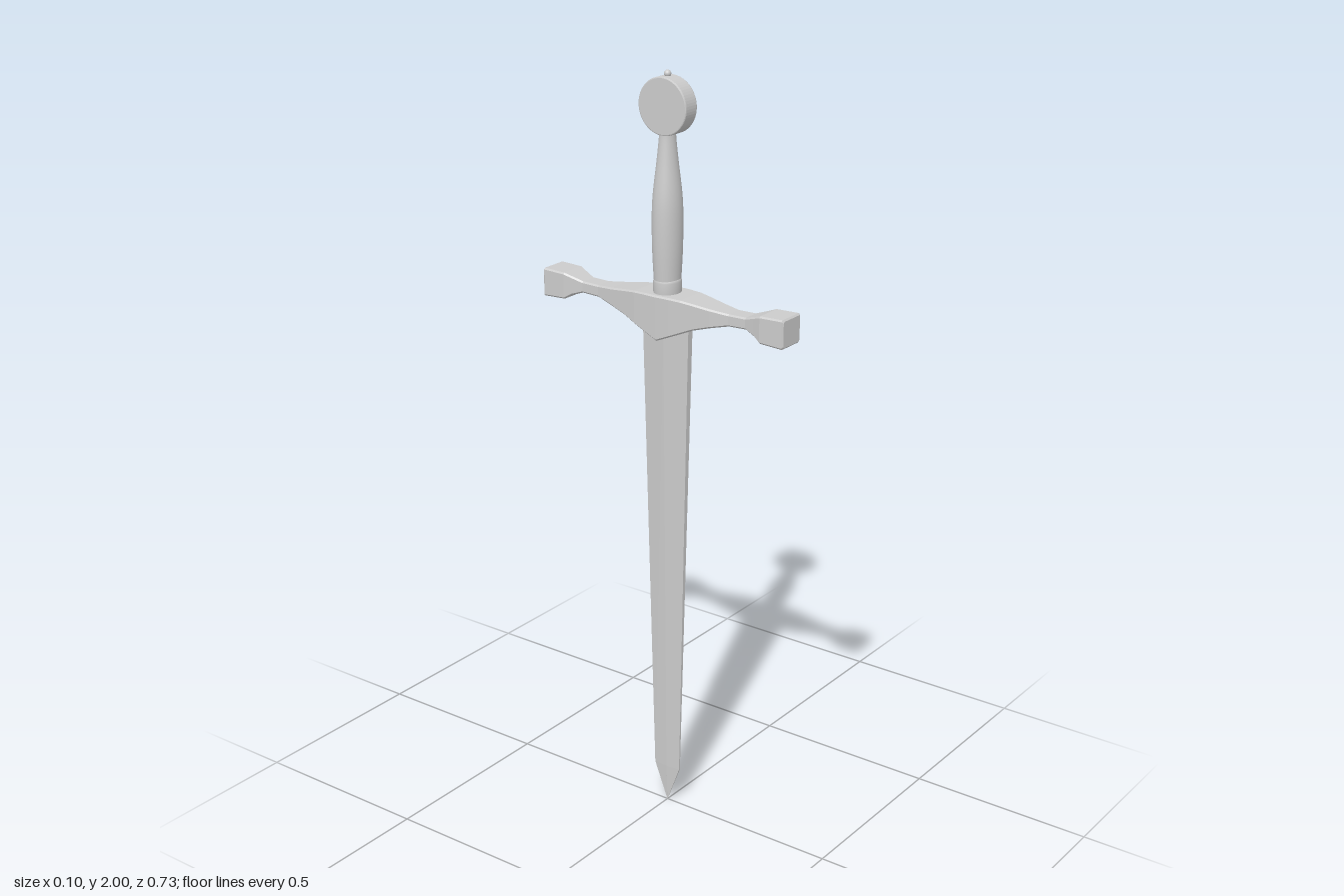
import * as THREE from 'three';

const material = new THREE.MeshStandardMaterial({ color: 0xcccccc });
const flat = new THREE.MeshStandardMaterial({ color: 0xcccccc, flatShading: true });

// Skin a list of equal-length rings (each anticlockwise seen from the far end) and cap both ends.
function loft(rings) {
  const n = rings[0].length, index = [];
  for (let r = 0; r < rings.length - 1; r++) {
    for (let i = 0; i < n; i++) {
      const a = r * n + i, b = r * n + (i + 1) % n;
      index.push(a, b, b + n, a, b + n, a + n);
    }
  }
  const last = (rings.length - 1) * n;
  for (let i = 1; i < n - 1; i++) {
    index.push(0, i + 1, i, last, last + i, last + i + 1);
  }
  const geometry = new THREE.BufferGeometry();
  geometry.setAttribute('position', new THREE.Float32BufferAttribute(rings.flat(2), 3));
  geometry.setIndex(index);
  const result = geometry.toNonIndexed();
  result.computeVertexNormals();
  return result;
}

// Blade section: shallow central ridge on both faces, narrow flat edges
function bladeRing(y, halfWidth, ridge, edge) {
  return [
    [ridge, y, 0], [edge, y, -halfWidth], [-edge, y, -halfWidth],
    [-ridge, y, 0], [-edge, y, halfWidth], [edge, y, halfWidth],
  ];
}

// Guard section: rectangle with small chamfers
function guardRing(z, top, bottom, half) {
  const c = 0.004;
  return [
    [half, bottom + c, z], [half, top - c, z], [half - c, top, z], [-half + c, top, z],
    [-half, top - c, z], [-half, bottom + c, z], [-half + c, bottom, z], [half - c, bottom, z],
  ];
}

export function createModel() {
  const model = new THREE.Group();
  const add = (name, geometry, mat) => {
    const mesh = new THREE.Mesh(geometry, mat);
    mesh.name = name;
    model.add(mesh);
    return mesh;
  };

  // Tapered blade with a pointed tip
  add('blade', loft([
    bladeRing(0.005, 0.0005, 0.0005, 0.0003),
    bladeRing(0.11, 0.04, 0.005, 0.002),
    bladeRing(1.40, 0.071, 0.018, 0.009),
  ]), flat);

  // Crossguard: z, top, bottom, half thickness, mirrored about the middle
  const half = [
    [0.035, 1.452, 1.35, 0.0485], [0.07, 1.451, 1.365, 0.046], [0.105, 1.447, 1.38, 0.041],
    [0.15, 1.441, 1.393, 0.034], [0.2, 1.436, 1.405, 0.025], [0.25, 1.437, 1.407, 0.025],
    [0.28, 1.447, 1.397, 0.033], [0.3, 1.454, 1.385, 0.039], [0.363, 1.456, 1.382, 0.039],
    [0.367, 1.452, 1.386, 0.035],
  ];
  const mirrored = half.map(([z, ...rest]) => [-z, ...rest]).reverse();
  const sections = [...mirrored, [0, 1.452, 1.335, 0.05], ...half];
  add('crossguard', loft(sections.map((s) => guardRing(...s))), flat);

  // Swelling grip, slightly oval
  const swell = new THREE.SplineCurve([
    [0.037, 1.485], [0.041, 1.56], [0.042, 1.64], [0.039, 1.70], [0.029, 1.78], [0.023, 1.835], [0.022, 1.86],
  ].map((p) => new THREE.Vector2(...p)));
  add('grip', new THREE.LatheGeometry(swell.getPoints(30), 40), material).scale.z = 0.88;

  // Collar at the foot of the grip
  const collar = [[0.036, 1.44], [0.038, 1.455], [0.038, 1.48], [0.036, 1.488], [0.03, 1.488]];
  add('collar', new THREE.LatheGeometry(collar.map((p) => new THREE.Vector2(...p)), 40), material).scale.z = 0.9;

  // Disc pommel with softened rims, facing sideways
  const disc = new THREE.Shape().absarc(0, 0, 0.068, 0, Math.PI * 2);
  const pommel = new THREE.ExtrudeGeometry(disc, {
    depth: 0.04, bevelThickness: 0.003, bevelSize: 0.003, bevelSegments: 2, curveSegments: 32,
  });
  pommel.translate(0, 0, -0.02).rotateY(Math.PI / 2);
  add('pommel', pommel, material).position.y = 1.915;

  // Small rivet on top
  add('rivet', new THREE.SphereGeometry(0.009, 20, 14), material).position.y = 1.991;

  return model;
}
